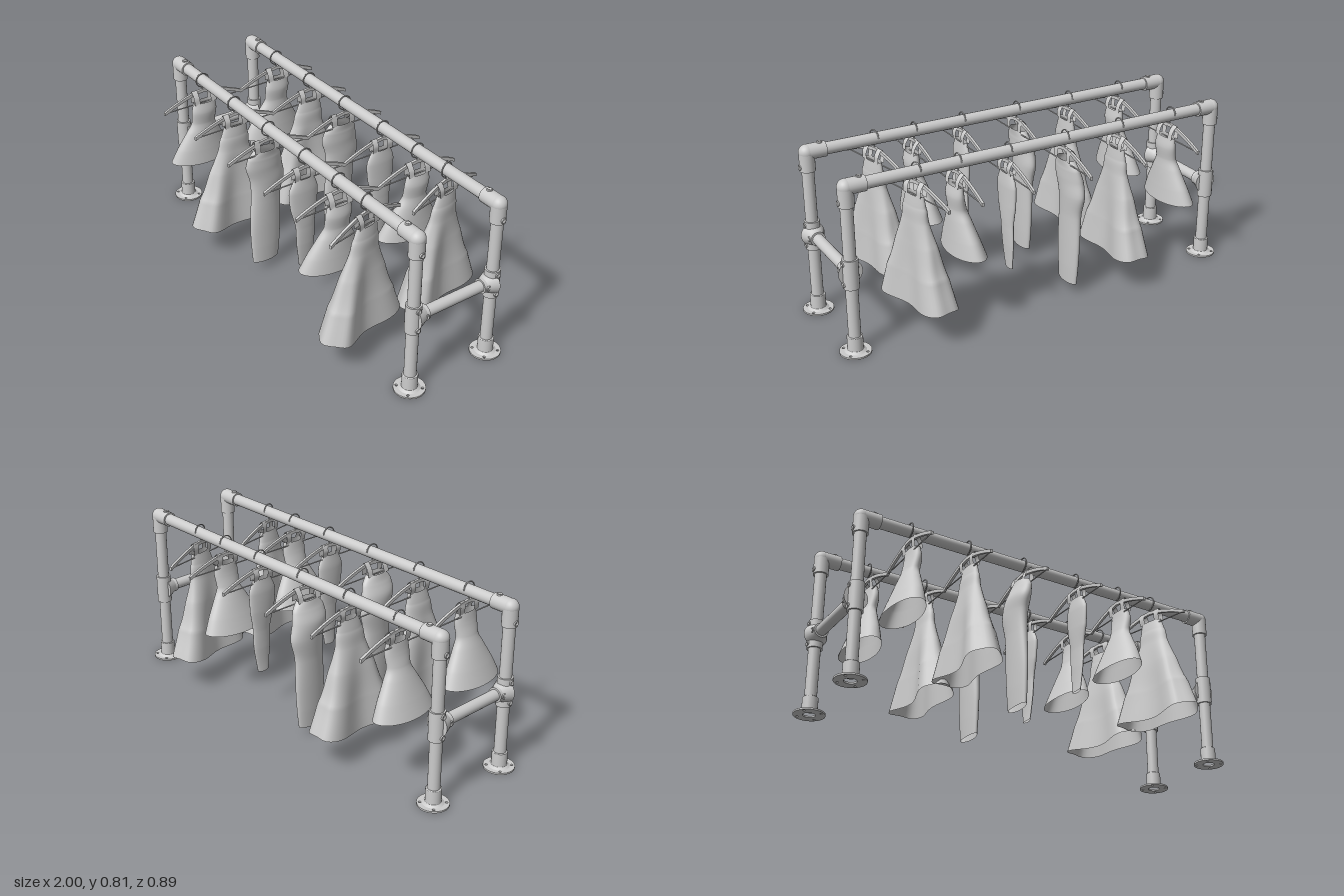
import * as THREE from 'three';
import { ParametricGeometry } from 'three/addons/geometries/ParametricGeometry.js';

const steel = new THREE.MeshStandardMaterial({ color: 0xcccccc });
const cloth = new THREE.MeshStandardMaterial({ color: 0xcccccc, side: THREE.DoubleSide });
const V = (x, y, z) => new THREE.Vector3(x, y, z);
const RAIL_Y = 0.77, POST_X = 0.93, RAIL_Z = [0.19, -0.235];

function add(parent, name, geometry, material = steel) {
  const mesh = new THREE.Mesh(geometry, material);
  mesh.name = name;
  parent.add(mesh);
  return mesh;
}

// Straight round bar between two points, optionally tapered
function bar(parent, name, a, b, r0, r1 = r0, sides = 28) {
  const mesh = add(parent, name, new THREE.CylinderGeometry(r1, r0, a.distanceTo(b), sides));
  mesh.position.copy(a).add(b).multiplyScalar(0.5);
  mesh.quaternion.setFromUnitVectors(V(0, 1, 0), b.clone().sub(a).normalize());
  return mesh;
}

// Socket screw: a raised rim with a recessed centre
function screw(parent, p, dir) {
  const pts = [[0.013, -0.008], [0.013, 0.002], [0.011, 0.004], [0.008, 0.004], [0.007, 0.001], [0, 0.001]];
  const mesh = add(parent, 'setScrew', new THREE.LatheGeometry(pts.map(q => new THREE.Vector2(...q)), 16));
  mesh.position.copy(p);
  mesh.quaternion.setFromUnitVectors(V(0, 1, 0), dir);
}

// One leg with its foot, tee and top elbow; s is the side, inward the z direction of the crossbar
function leg(parent, s, z, inward) {
  const g = new THREE.Group();
  g.name = 'leg';
  g.position.set(s * POST_X, 0, z);
  parent.add(g);
  bar(g, 'post', V(0, 0.02, 0), V(0, 0.76, 0), 0.0275);

  // Foot: drilled plate, sloping shoulder and collar
  const plate = new THREE.Shape().absarc(0, 0, 0.07, 0, Math.PI * 2);
  plate.holes.push(new THREE.Path().absarc(0, 0, 0.0275, 0, Math.PI * 2, true));
  for (let i = 0; i < 4; i++) {
    const a = Math.PI / 4 + i * Math.PI / 2;
    plate.holes.push(new THREE.Path().absarc(0.056 * Math.cos(a), 0.056 * Math.sin(a), 0.006, 0, Math.PI * 2, true));
  }
  add(g, 'footPlate', new THREE.ExtrudeGeometry(plate, { depth: 0.008, bevelEnabled: false, curveSegments: 20 }))
    .rotation.x = -Math.PI / 2;
  const collar = [[0.048, 0.008], [0.036, 0.016], [0.035, 0.018], [0.035, 0.078], [0.033, 0.081], [0.027, 0.081]];
  add(g, 'footCollar', new THREE.LatheGeometry(collar.map(q => new THREE.Vector2(...q)), 28));

  // Tee for the crossbar
  bar(g, 'teeSleeve', V(0, 0.312, 0), V(0, 0.447, 0), 0.035);
  bar(g, 'teeBranch', V(0, 0.38, 0), V(0, 0.38, inward * 0.065), 0.034);
  bar(g, 'teeShoulder', V(0, 0.38, 0), V(0, 0.38, inward * 0.05), 0.055, 0.034);

  // Elbow: two sockets joined by a ball
  bar(g, 'elbowSocket', V(0, 0.685, 0), V(0, RAIL_Y, 0), 0.035);
  bar(g, 'elbowSocket', V(0, RAIL_Y, 0), V(-s * 0.085, RAIL_Y, 0), 0.035);
  add(g, 'elbowCorner', new THREE.SphereGeometry(0.0355, 28, 18)).position.y = RAIL_Y;

  const out = V(s, 0, 0);
  screw(g, V(s * 0.035, 0.428, 0), out);
  screw(g, V(s * 0.035, 0.332, 0), out);
  screw(g, V(s * 0.034, 0.38, inward * 0.045), out);
  screw(g, V(s * 0.035, 0.705, 0), out);
  screw(g, V(-s * 0.06, RAIL_Y + 0.035, 0), V(0, 1, 0));
}

// Hanger lying along z, its hook looped over the rail
function hanger(parent) {
  const half = 0.215, n = 14, band = new THREE.Shape();
  const arch = z => 0.718 - 0.066 * Math.pow(Math.abs(z) / half, 1.5);
  for (let i = 0; i <= n; i++) {
    const z = -half + 2 * half * i / n;
    i ? band.lineTo(z, arch(z) - 0.007) : band.moveTo(z, arch(z) - 0.007);
  }
  for (let i = n; i >= 0; i--) {
    const z = -half + 2 * half * i / n;
    band.lineTo(z, arch(z) + 0.009);
  }
  const arms = new THREE.ExtrudeGeometry(band, { depth: 0.012, bevelEnabled: false });
  arms.translate(0, 0, -0.006).rotateY(-Math.PI / 2);
  add(parent, 'hangerArms', arms);
  bar(parent, 'hangerBar', V(0, 0.654, -half + 0.01), V(0, 0.654, half - 0.01), 0.003, 0.003, 8);

  const hook = [V(0, 0.72, 0), V(0, 0.735, 0.004)];
  for (let i = 0; i <= 8; i++) {
    const a = -0.9 + i * 0.5;
    hook.push(V(0, 0.773 + 0.034 * Math.sin(a), 0.034 * Math.cos(a)));
  }
  add(parent, 'hangerHook', new THREE.TubeGeometry(new THREE.CatmullRomCurve3(hook), 40, 0.003, 8));
}

// Cloth tube through rows of [y, centre x, centre z, half x, half z, fold], top to hem
function garment(parent, { name, rows, drop, straps }) {
  const middle = new THREE.CatmullRomCurve3(rows.map(r => V(r[1], r[0], r[2])));
  const size = new THREE.CatmullRomCurve3(rows.map(r => V(r[3], r[4], r[5])));
  const c = V(), q = V();
  add(parent, name, new ParametricGeometry((u, v, p) => {
    const a = u * Math.PI * 2, s = Math.sin(a);
    middle.getPoint(v, c);
    size.getPoint(v, q);
    // Folds pinch the sides together and leave a lobe at each end
    const pinch = THREE.MathUtils.lerp(1, 1.5 * (1 - 0.62 * s ** 4), q.z);
    const ripple = 1 + 0.03 * q.z * Math.cos(7 * a);
    p.set(c.x + q.x * s * pinch * ripple, c.y - drop * s * s * v ** 3, c.z + q.y * Math.cos(a) * ripple);
  }, 56, 36), cloth);

  // Shoulder straps run from one side of the rim over the hanger to the other
  const [y, cx, cz, rx] = rows[0];
  for (const side of [-1, 1]) {
    const path = new THREE.CatmullRomCurve3([
      V(cx - rx * 0.75, y - 0.005, 0), V(cx * 0.6 - 0.016, 0.7, 0), V(0, 0.728, 0),
      V(cx * 0.6 + 0.016, 0.7, 0), V(cx + rx * 0.75, y - 0.005, 0)]);
    add(parent, 'strap', new ParametricGeometry((u, v, p) => {
      path.getPoint(u, p);
      p.z = cz + side * straps + (v - 0.5) * 0.03;
    }, 20, 2), cloth);
  }
}

const shortDress = {
  name: 'shortDress', drop: 0.008, straps: 0.045,
  rows: [[0.67, 0.015, 0.005, 0.024, 0.058, 0], [0.62, 0.016, 0.008, 0.031, 0.066, 0],
    [0.56, 0.006, 0.01, 0.034, 0.062, 0], [0.5, -0.003, 0.012, 0.046, 0.09, 0],
    [0.42, -0.015, 0.014, 0.062, 0.135, 0], [0.352, -0.025, 0.015, 0.076, 0.165, 0]],
};
const longDress = {
  name: 'longDress', drop: 0.028, straps: 0.045,
  rows: [[0.67, 0.01, 0.005, 0.02, 0.058, 0], [0.62, 0.008, 0.01, 0.026, 0.07, 0],
    [0.55, 0.005, 0.015, 0.033, 0.083, 0.15], [0.44, 0, 0.02, 0.05, 0.125, 0.6],
    [0.3, -0.002, 0.025, 0.072, 0.178, 0.95], [0.172, -0.004, 0.025, 0.088, 0.222, 1]],
};
const sheathDress = {
  name: 'sheathDress', drop: 0.004, straps: 0.05,
  rows: [[0.67, -0.012, 0.012, 0.03, 0.055, 0], [0.63, -0.02, 0.012, 0.034, 0.085, 0],
    [0.57, -0.032, 0.008, 0.043, 0.094, 0], [0.5, -0.034, -0.008, 0.041, 0.09, 0],
    [0.4, -0.034, 0.002, 0.034, 0.078, 0], [0.25, -0.034, 0.008, 0.029, 0.082, 0],
    [0.13, -0.034, 0.01, 0.025, 0.077, 0], [0.05, -0.034, 0.012, 0.021, 0.07, 0]],
};
const slimTop = {
  name: 'slimGarment', drop: 0.004, straps: 0.04,
  rows: [[0.67, 0.004, 0.01, 0.017, 0.05, 0], [0.6, 0.003, 0.012, 0.022, 0.075, 0],
    [0.52, 0.003, 0.01, 0.021, 0.07, 0], [0.42, 0.005, 0.005, 0.016, 0.05, 0],
    [0.33, 0.003, 0.003, 0.013, 0.048, 0], [0.25, 0, 0.003, 0.009, 0.038, 0], [0.204, -0.003, 0.003, 0.008, 0.032, 0]],
};

export function createModel() {
  const model = new THREE.Group();
  model.name = 'clothesRack';

  // Pipe frame
  const frame = new THREE.Group();
  frame.name = 'pipeFrame';
  model.add(frame);
  for (const z of RAIL_Z) {
    bar(frame, 'rail', V(-POST_X, RAIL_Y, z), V(POST_X, RAIL_Y, z), 0.0275);
    for (const s of [-1, 1]) leg(frame, s, z, -Math.sign(z));
  }
  for (const s of [-1, 1])
    bar(frame, 'crossbar', V(s * POST_X, 0.38, RAIL_Z[0]), V(s * POST_X, 0.38, RAIL_Z[1]), 0.026);

  // The same six garments hang on each rail: [x, garment, turn]
  const hung = [[-0.7, shortDress, 0], [-0.41, longDress, 0], [-0.12, sheathDress, 0],
    [0.17, slimTop, 0], [0.415, shortDress, 0], [0.61, longDress, 0.2]];
  for (const z of RAIL_Z) {
    for (const [x, item, turn] of hung) {
      const g = new THREE.Group();
      g.name = 'hangingGarment';
      g.position.set(x, 0, z + 0.005);
      g.rotation.y = turn;
      hanger(g);
      garment(g, item);
      model.add(g);
    }
  }
  return model;
}
